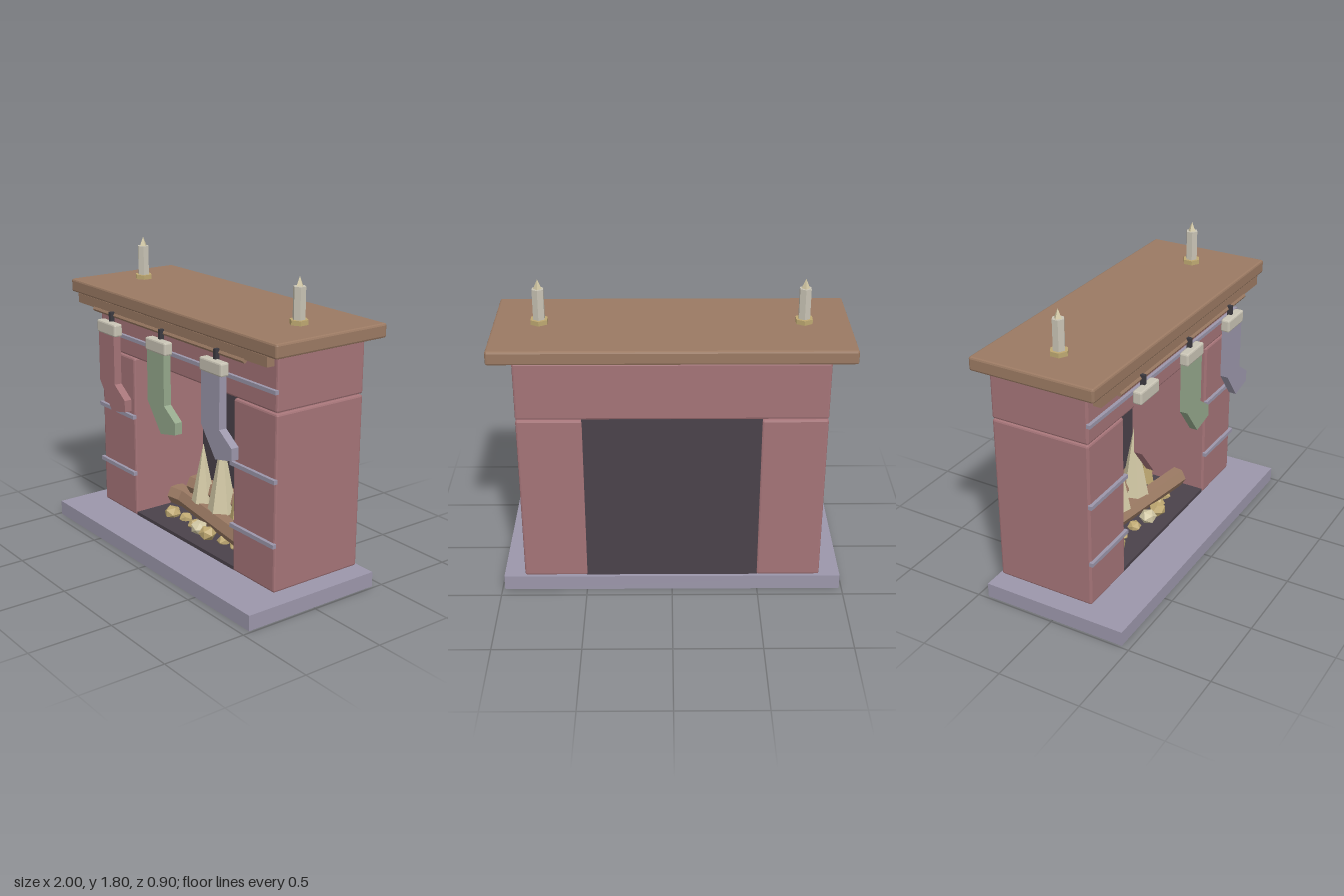
import * as THREE from 'three';
import { RoundedBoxGeometry } from 'three/addons/geometries/RoundedBoxGeometry.js';

const mat = (name, color) => {
  const m = new THREE.MeshStandardMaterial({ color, flatShading: true });
  m.name = name;
  return m;
};

export function createModel() {
  const model = new THREE.Group();
  model.name = 'fireplace';
  const brick = mat('brick red', 0xa57478);
  const stone = mat('lavender stone', 0x9c97ab);
  const wood = mat('wood brown', 0x9b7a63);
  const soot = mat('soot', 0x4b424b);
  const iron = mat('black iron', 0x3c3a40);
  const cream = mat('cream', 0xc9c4b5);
  const flameMat = mat('pale flame', 0xd3c9a6);
  const gold = mat('gold', 0xbfa972);
  const green = mat('sage green', 0x95a88c);

  const add = (name, geo, material, x = 0, y = 0, z = 0) => {
    const mesh = new THREE.Mesh(geo, material);
    mesh.name = name;
    mesh.position.set(x, y, z);
    model.add(mesh);
    return mesh;
  };
  // Box given by its minimum and maximum corners, optionally with softened edges
  const block = (name, material, [x0, x1], [y0, y1], [z0, z1], bevel = 0) => {
    const w = x1 - x0, h = y1 - y0, d = z1 - z0;
    const geo = bevel ? new RoundedBoxGeometry(w, h, d, 1, bevel) : new THREE.BoxGeometry(w, h, d);
    return add(name, geo, material, (x0 + x1) / 2, (y0 + y1) / 2, (z0 + z1) / 2);
  };

  // Masonry
  const depth = [-0.426, 0.184];
  block('hearth', stone, [-0.985, 0.985], [0, 0.09], [-0.44, 0.45]);
  block('lintel', brick, [-0.863, 0.863], [1.12, 1.46], depth, 0.012);
  block('rightPillar', brick, [-0.863, -0.495], [0.09, 1.115], depth, 0.012);
  block('leftPillar', brick, [0.495, 0.863], [0.09, 1.115], depth, 0.012);
  block('fireback', soot, [-0.5, 0.5], [0.09, 1.121], [-0.42, -0.335]);
  block('fireboxFloor', soot, [-0.497, 0.497], [0.088, 0.112], [-0.34, 0.178]);

  // Raised mortar bands
  const bandZ = [0.18, 0.204];
  block('upperBand', stone, [-0.872, 0.872], [1.228, 1.25], bandZ);
  for (const y of [0.743, 0.373]) {
    block('rightBand', stone, [-0.872, -0.488], [y - 0.012, y + 0.012], bandZ);
    block('leftBand', stone, [0.488, 0.872], [y - 0.012, y + 0.012], bandZ);
  }

  // Mantel shelf, trim and hanging rail
  block('mantelShelf', wood, [-1, 1], [1.46, 1.541], [-0.45, 0.31], 0.012);
  block('mantelTrim', wood, [-0.923, 0.923], [1.405, 1.462], [0.258, 0.306]);
  const rail = add('hangingRail', new THREE.CylinderGeometry(0.014, 0.014, 1.48, 6), wood, 0, 1.398, 0.302);
  rail.rotation.z = Math.PI / 2;

  // Stockings with cuffs and hooks
  const outline = [[-0.085, 1.3], [-0.085, 0.99], [0.045, 0.82], [0.187, 0.85],
    [0.187, 0.92], [0.08, 0.995], [0.08, 1.3]];
  const sock = new THREE.ExtrudeGeometry(
    new THREE.Shape(outline.map(([x, y]) => new THREE.Vector2(x, y))),
    { depth: 0.048, bevelEnabled: false });
  [[-0.52, brick], [0, green], [0.518, stone]].forEach(([x, material]) => {
    add('stocking', sock, material, x, 0, 0.312);
    block('stockingCuff', cream, [x - 0.098, x + 0.098], [1.288, 1.364], [0.308, 0.364], 0.01);
    block('stockingHook', iron, [x - 0.01, x + 0.01], [1.36, 1.42], [0.306, 0.334]);
  });

  // Candles
  for (const x of [-0.74, 0.74]) {
    add('candleHolder', new THREE.CylinderGeometry(0.053, 0.053, 0.028, 6), gold, x, 1.554, -0.057);
    add('candle', new THREE.CylinderGeometry(0.036, 0.036, 0.18, 6), cream, x, 1.655, -0.057);
    add('candleFlame', new THREE.ConeGeometry(0.025, 0.057, 4), flameMat, x, 1.771, -0.057);
  }

  // Crossed logs: length, height, depth position, yaw
  [[0.88, 0.2, -0.03, -0.15], [0.88, 0.2, -0.13, 0.15], [0.56, 0.308, -0.13, 0.1]]
    .forEach(([length, y, z, yaw]) => {
      const geo = new THREE.CylinderGeometry(0.062, 0.062, length, 6);
      geo.rotateZ(Math.PI / 2);
      const log = add('log', geo, wood, 0, y, z);
      log.rotation.y = yaw;
    });

  // Flames: x, top, radius, colour
  [[-0.13, 0.625, 0.075, flameMat], [0.06, 0.73, 0.09, flameMat], [0.212, 0.535, 0.046, gold]]
    .forEach(([x, top, r, material]) => {
      const cone = add('flame', new THREE.ConeGeometry(r, top - 0.248, 6), material, x, (top + 0.248) / 2, -0.07);
      cone.rotation.y = 0.25;
    });

  // Embers: x, y, z, radius, colour
  [[-0.32, 0.13, 0.03, 0.055, gold], [-0.22, 0.12, 0, 0.045, gold], [-0.1, 0.12, 0.02, 0.045, gold],
    [0, 0.148, 0.06, 0.055, flameMat], [0.1, 0.148, 0.07, 0.055, gold],
    [0.2, 0.122, 0.02, 0.045, gold], [0.3, 0.12, 0, 0.052, gold]]
    .forEach(([x, y, z, r, material], i) => {
      const ember = add('ember', new THREE.IcosahedronGeometry(r, 0), material, x, y, z);
      ember.scale.y = 0.85;
      ember.rotation.y = i * 0.9;
    });

  return model;
}
